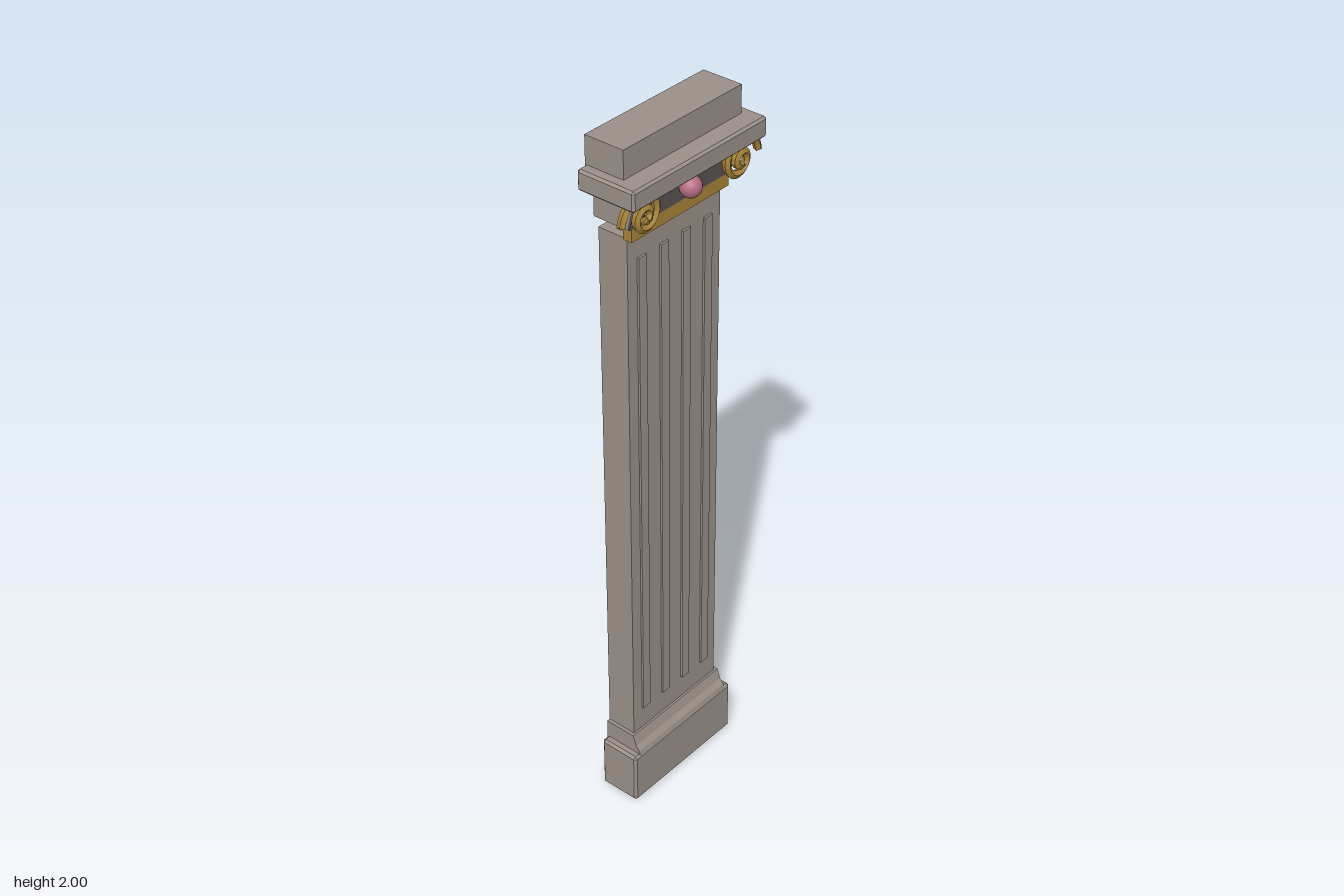
import * as THREE from 'three';
import { ConvexGeometry } from 'three/addons/geometries/ConvexGeometry.js';

const BACK = -0.085;

export function createModel() {
  const group = new THREE.Group();
  const material = (name, color, extra = {}) => {
    const m = new THREE.MeshStandardMaterial({ color, ...extra });
    m.name = name;
    return m;
  };
  const stone = material('stone', 0x9c9189);
  const darkStone = material('dark stone', 0x686160);
  const gold = material('gold', 0xa8853a, { flatShading: true, side: THREE.DoubleSide });
  const pink = material('pink', 0xb86c84);

  const add = (name, geometry, mat) => {
    const mesh = new THREE.Mesh(geometry, mat);
    mesh.name = name;
    group.add(mesh);
    return mesh;
  };

  // Box given by half width, y range and z range
  const block = (hw, y0, y1, z0, z1) =>
    new THREE.BoxGeometry(2 * hw, y1 - y0, z1 - z0).translate(0, (y0 + y1) / 2, (z0 + z1) / 2);

  // The same box with every edge chamfered by c
  const chamferedBlock = (hw, y0, y1, z0, z1, c) => {
    const half = [hw, (y1 - y0) / 2, (z1 - z0) / 2];
    const points = [];
    for (const sx of [-1, 1]) for (const sy of [-1, 1]) for (const sz of [-1, 1]) {
      for (let axis = 0; axis < 3; axis++) {
        const p = [sx, sy, sz].map((s, i) => s * (half[i] - (i === axis ? 0 : c)));
        points.push(new THREE.Vector3(...p));
      }
    }
    return new ConvexGeometry(points).translate(0, (y0 + y1) / 2, (z0 + z1) / 2);
  };

  // Side profile of [z, y] points drawn out along x
  const moulding = (hw, profile) => {
    const shape = new THREE.Shape(profile.map(([z, y]) => new THREE.Vector2(z, y)));
    return new THREE.ExtrudeGeometry(shape, { depth: 2 * hw, bevelEnabled: false })
      .rotateY(-Math.PI / 2).translate(hw, 0, 0);
  };

  // Base
  add('plinth', chamferedBlock(0.2, 0, 0.157, BACK, 0.035, 0.007), stone);
  add('baseMoulding', moulding(0.178, [
    [BACK, 0.15], [0.034, 0.15], [0.03, 0.165], [0.018, 0.18], [0.008, 0.21], [BACK, 0.21],
  ]), stone);

  // Shaft with four raised strips
  add('shaft', block(0.168, 0.2, 1.745, BACK, 0.002), stone);
  for (let i = 0; i < 4; i++) {
    const strip = add('shaftStrip', block(0.014, 0.28, 1.68, 0, 0.008), stone);
    strip.position.x = -0.12 + i * 0.08;
  }

  // Capital
  add('goldBand', block(0.175, 1.745, 1.78, -0.004, 0.022), gold);
  add('capitalBlock', moulding(0.183, [
    [BACK, 1.78], [0.018, 1.78], [0.03, 1.83], [0.033, 1.872], [BACK, 1.872],
  ]), stone);
  add('capitalFace', moulding(0.182, [
    [0.017, 1.78], [0.022, 1.78], [0.034, 1.83], [0.037, 1.871], [0.032, 1.871], [0.028, 1.83],
  ]), darkStone);
  add('abacus', chamferedBlock(0.238, 1.87, 1.925, BACK, 0.085, 0.006), stone);
  add('topBlock', block(0.208, 1.92, 2, BACK, 0.03), stone);

  // Scrolls curling down and inwards from an outer tip
  for (const side of [-1, 1]) {
    const points = [];
    for (let i = 0; i <= 32; i++) {
      const turn = (i / 32) * 1.85;
      const r = 0.016 + 0.058 * Math.exp(-1.25 * turn) - 0.006 * turn;
      const a = Math.PI - turn * 2 * Math.PI;
      points.push(new THREE.Vector3(
        side * (0.17 - r * Math.cos(a)), 1.828 + r * Math.sin(a), 0.053 + 0.004 * turn));
    }
    add(side > 0 ? 'leftScroll' : 'rightScroll',
      new THREE.TubeGeometry(new THREE.CatmullRomCurve3(points), 40, 0.011, 5), gold);
    // Closed tip of the scroll
    const tip = add('scrollTip', new THREE.CircleGeometry(0.011, 5).rotateX(Math.PI / 2), gold);
    tip.position.copy(points[0]);
  }

  // Central bead
  add('bead', new THREE.SphereGeometry(0.028, 24, 16).translate(0, 1.828, 0.051), pink);

  return group;
}
